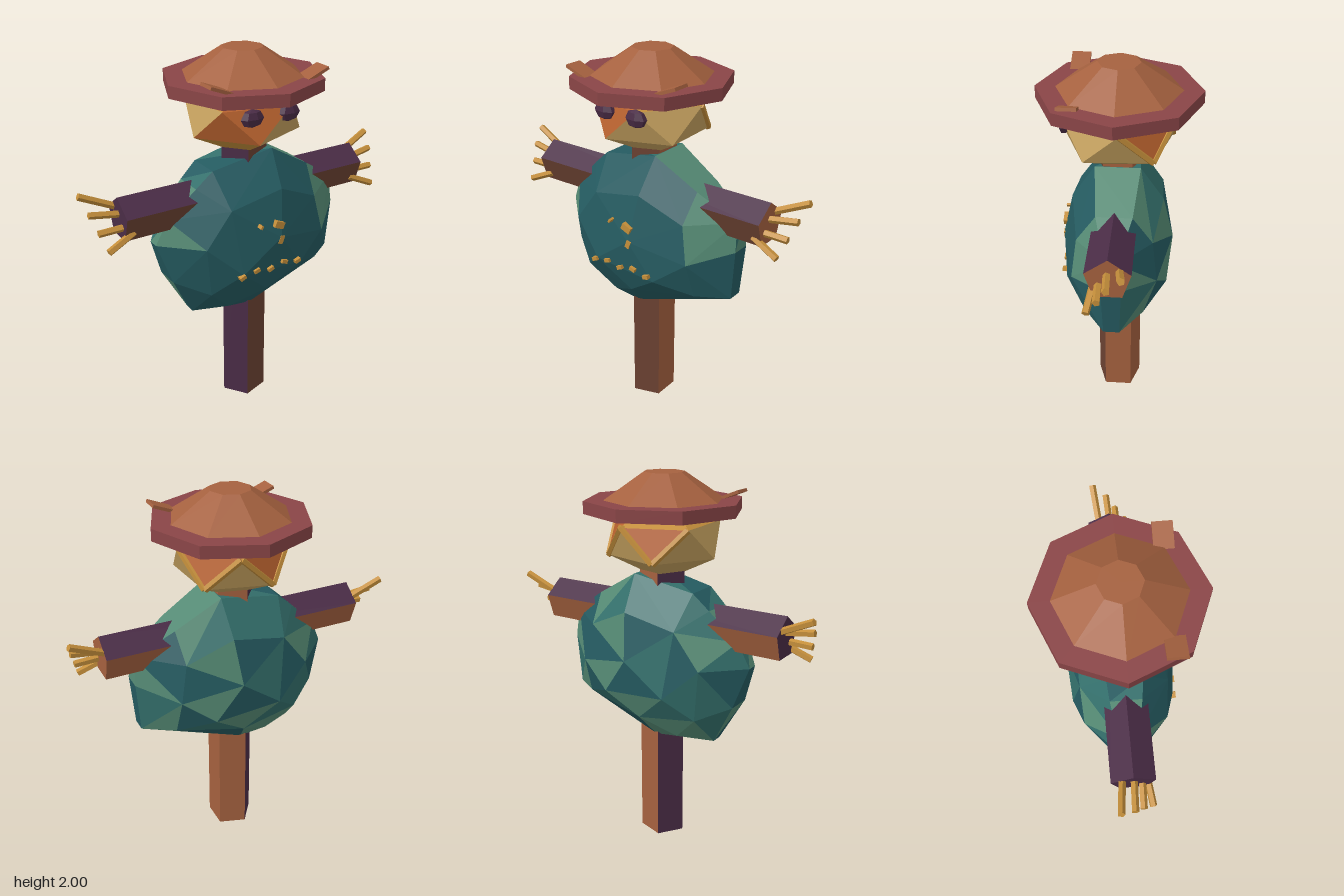
import * as THREE from 'three';
import { ConvexGeometry } from 'three/addons/geometries/ConvexGeometry.js';

const mat = (name, color) => new THREE.MeshStandardMaterial({ name, color, flatShading: true });
const V = (x, y, z) => new THREE.Vector3(x, y, z);

export function createModel() {
  const model = new THREE.Group();
  model.name = 'scarecrow';

  const wood = mat('warm brown', 0xa5613f);
  const darkWood = mat('dark brown', 0x6c4232);
  const purple = mat('dark purple', 0x4a2c46);
  const teal = mat('dark teal', 0x255b61);
  const midTeal = mat('mid teal', 0x34706c);
  const green = mat('sage green', 0x558a74);
  const sand = mat('sand', 0xc6a25f);
  const straw = mat('straw gold', 0xc58f3b);
  const rust = mat('rust orange', 0xb8622e);
  const brimRed = mat('brim red', 0x8a4547);

  function add(name, geometry, material, x = 0, y = 0, z = 0, parent = model) {
    const mesh = new THREE.Mesh(geometry, material);
    mesh.name = name;
    mesh.position.set(x, y, z);
    parent.add(mesh);
    return mesh;
  }

  // Five-sided beam: two purple sides, one dark brown, two warm brown
  function beam(name, radius, length, y) {
    const g = new THREE.CylinderGeometry(radius, radius, length, 5, 1, false, -Math.PI / 2);
    g.clearGroups();
    g.addGroup(0, 6, 1);
    g.addGroup(6, 6, 2);
    g.addGroup(12, 12, 0);
    g.addGroup(24, 6, 1);
    g.addGroup(30, 15, 0);
    g.addGroup(45, 15, 1);
    return add(name, g, [wood, purple, darkWood], 0, y, 0);
  }

  // Thin straw between two points
  function stalk(name, a, b, radius) {
    const d = b.clone().sub(a);
    const m = add(name, new THREE.CylinderGeometry(radius, radius, d.length(), 5), straw);
    m.position.copy(a).add(b).multiplyScalar(0.5);
    m.quaternion.setFromUnitVectors(V(0, 1, 0), d.normalize());
  }

  // Post and crossbar
  beam('post', 0.125, 1.55, 0.775);
  beam('armBar', 0.1145, 1.415, 1.249).rotation.z = -Math.PI / 2;

  // Straw fingers, [start x, y, z, end x, y, z] mirrored to both hands
  const fingers = [
    [0.66, 1.28, -0.05, 0.875, 1.38, -0.073],
    [0.66, 1.272, 0.005, 0.855, 1.303, -0.005],
    [0.66, 1.222, 0.045, 0.83, 1.218, 0.04],
    [0.66, 1.195, 0.07, 0.805, 1.133, 0.092],
  ];
  for (const side of [1, -1]) {
    for (const [ax, ay, az, bx, by, bz] of fingers) {
      stalk(side > 0 ? 'leftFinger' : 'rightFinger', V(side * ax, ay, az), V(side * bx, by, bz), 0.019);
    }
  }

  // Stuffed body: faceted hull, each point repeated front and back
  const bodyPoints = [];
  for (const [x, y, z] of [
    [-0.53, 1.066, 0.03], [-0.47, 1.2, 0.05], [-0.32, 1.345, 0.08], [-0.23, 1.425, 0.09],
    [0.105, 1.49, 0.115], [0.345, 1.35, 0.09], [0.545, 1.22, 0.03], [0.555, 1.066, 0.05],
    [0.535, 0.79, 0.04], [-0.335, 0.62, 0.03], [-0.015, 0.612, 0.1], [-0.46, 0.85, 0.07],
    [-0.2, 1.25, 0.222], [0.09, 1.31, 0.232], [0.33, 1.2, 0.19], [-0.34, 1.066, 0.215],
    [0.06, 1.066, 0.286], [0.37, 1.0, 0.215], [-0.16, 0.9, 0.272], [0.2, 0.87, 0.262],
    [-0.3, 0.78, 0.18], [0.02, 0.74, 0.21], [0.38, 0.8, 0.15], [-0.16, 0.64, 0.12],
  ]) bodyPoints.push(V(x, y, z), V(x, y, -z));
  const body = new ConvexGeometry(bodyPoints);
  const p = body.attributes.position;
  let seed = 11;
  const random = () => (seed = (seed * 16807) % 2147483647) / 2147483647;
  for (let i = 0; i < p.count; i += 3) {
    const centre = V(0, 0, 0);
    for (let j = i; j < i + 3; j++) centre.add(V(p.getX(j), p.getY(j), p.getZ(j)).divideScalar(3));
    let tone = Math.floor(random() * 3);
    // Front is dark teal with sage shoulders and flanks
    if (centre.z > 0.08) {
      const flank = Math.abs(centre.x) > 0.36 && centre.y > 1.08;
      tone = flank || centre.y > 1.39 ? 2 : 0;
    }
    body.addGroup(i, 3, tone);
  }
  add('body', body, [teal, midTeal, green]);

  // Straw stitches poking out of the front
  for (const [x, y, tilt, w, h] of [
    [-0.17, 0.893, 0.4, 0.034, 0.02], [-0.085, 0.91, 0.3, 0.034, 0.02], [0, 0.897, 0.4, 0.034, 0.02],
    [0.085, 0.915, -0.3, 0.034, 0.02], [0.17, 0.897, 0.3, 0.034, 0.02],
    [0.048, 1.138, -0.4, 0.055, 0.036], [0.06, 1.052, 1.2, 0.045, 0.026], [-0.06, 1.15, 1, 0.02, 0.012],
  ]) {
    add('stitch', new THREE.BoxGeometry(w, h, 0.09), straw, x, y, 0.242).rotation.z = tilt;
  }

  // Head: two staggered rings of five corners between a top and bottom point
  const ring = (y, startDeg) => Array.from({ length: 5 }, (_, k) => {
    const a = (startDeg + 72 * k) * Math.PI / 180;
    return V(0.29 * Math.cos(a), y, 0.29 * Math.sin(a));
  });
  const U = ring(1.752, -3), L = ring(1.588, 33);
  const top = V(0, 1.9, 0), bottom = V(0, 1.445, 0);
  // Colour per face: 0 sand, 1 straw, 2 rust
  const tones = { top: [1, 2, 1, 1, 2], upper: [0, 2, 0, 2, 2], lower: [0, 2, 0, 0, 0], chin: [0, 1, 0, 0, 0] };
  const corners = [], headTones = [];
  for (let k = 0; k < 5; k++) {
    const n = (k + 1) % 5;
    corners.push(top, U[n], U[k], U[k], U[n], L[k], U[n], L[n], L[k], bottom, L[k], L[n]);
    headTones.push(tones.top[k], tones.upper[k], tones.lower[k], tones.chin[k]);
  }
  const head = new THREE.BufferGeometry().setFromPoints(corners);
  head.computeVertexNormals();
  headTones.forEach((t, i) => head.addGroup(i * 3, 3, t));
  add('head', head, [sand, straw, rust]);

  // Straw seams framing the rust patches on the back of the head
  for (const [u, l] of [[0, 4], [4, 4], [3, 3], [4, 3]]) {
    stalk('headSeam', U[u].clone().multiply(V(0.97, 1, 0.97)), L[l].clone().multiply(V(0.97, 1, 0.97)), 0.018);
  }

  // Eyes
  for (const side of [1, -1]) {
    const eye = add('eye', new THREE.SphereGeometry(1, 7, 4), purple, side * 0.1, 1.72, side > 0 ? 0.258 : 0.248);
    eye.scale.set(0.064, 0.046, 0.032);
  }

  // Hat with two small side flaps
  const hat = new THREE.Group();
  hat.name = 'hat';
  model.add(hat);
  add('brim', new THREE.CylinderGeometry(0.41, 0.41, 0.063, 8), brimRed, 0, 1.833, 0, hat);
  add('crown', new THREE.CylinderGeometry(0.105, 0.31, 0.136, 8), wood, 0, 1.932, 0, hat);
  for (const side of [1, -1]) {
    const flap = add('hatFlap', new THREE.BoxGeometry(0.14, 0.016, 0.096), wood, side * 0.265, 1.878, 0.216, hat);
    flap.rotation.z = side * 0.38;
  }
  return model;
}
